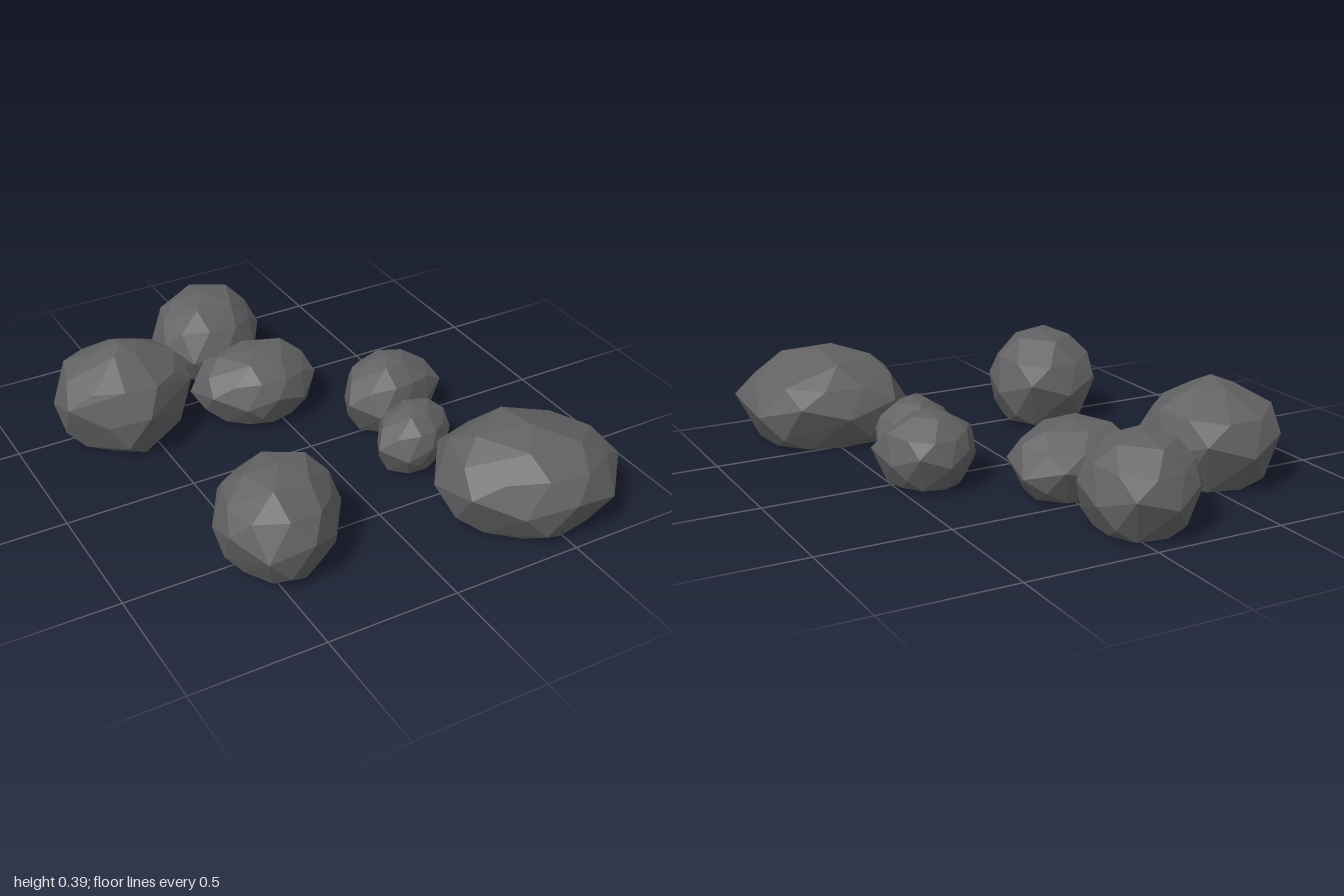
import * as THREE from 'three';
import { ConvexGeometry } from 'three/addons/geometries/ConvexGeometry.js';

const stone = new THREE.MeshStandardMaterial({ color: 0x626264, flatShading: true });
stone.name = 'dark grey stone';

// Builds one faceted boulder as a hull of stacked rings.
// center: [x, z]; radii: plan radius every 36 degrees, starting at the back (-z);
// cap: width of the crown ring; slope: fall of the slab over the top along x and z.
function boulder(name, { center, radii, height, cap, baseY = 0.01, slope = [0, 0] }) {
  const [cx, cz] = center;
  const points = [];
  const add = (dx, dz, y) => {
    const slab = height + slope[0] * dx + slope[1] * dz;
    points.push(new THREE.Vector3(cx + dx, Math.min(y, slab), cz + dz));
  };
  // Point on a ring; half steps fall between two radii
  const ring = (step, scale, y) => {
    const a = (step * Math.PI) / 5;
    const low = Math.floor(step), high = Math.ceil(step) % radii.length;
    const r = scale * (radii[low] + radii[high]) / 2;
    add(r * Math.sin(a), -r * Math.cos(a), y);
  };
  radii.forEach((_, i) => {
    ring(i, 0.73, baseY); // flat underside
    if (i % 2) ring(i + 0.5, 0.9, baseY + 0.045); // undercut
    ring(i, 1, height * (i % 2 ? 0.52 : 0.38)); // belly
    ring(i + 0.5, 0.83, height * (0.72 + 0.03 * (i % 3 - 1))); // shoulder
    if (i % 2 === 0) ring(i, cap, height * (i % 4 ? 0.95 : 0.92)); // crown
  });
  add(0, 0, height); // peak
  const mesh = new THREE.Mesh(new ConvexGeometry(points), stone);
  mesh.name = name;
  return mesh;
}

export function createModel() {
  const group = new THREE.Group();
  group.name = 'boulders';

  // Back cluster
  group.add(
    boulder('backRightBoulder', {
      center: [-0.575, -0.465], height: 0.39, cap: 0.32,
      radii: [0.285, 0.295, 0.27, 0.27, 0.225, 0.28, 0.234, 0.265, 0.265, 0.272],
    }),
    boulder('backBoulder', {
      center: [-0.08, -0.765], height: 0.335, cap: 0.56,
      radii: [0.235, 0.262, 0.23, 0.223, 0.23, 0.225, 0.234, 0.216, 0.222, 0.212],
    }),
    boulder('middleBoulder', {
      center: [-0.055, -0.355], height: 0.27, cap: 0.55,
      radii: [0.2, 0.237, 0.26, 0.24, 0.212, 0.2, 0.2, 0.23, 0.26, 0.237],
    }),
  );

  // Small pair linking the clusters
  group.add(
    boulder('smallBoulder', {
      center: [0.365, -0.045], height: 0.285, cap: 0.42, baseY: 0.015,
      radii: [0.18, 0.19, 0.19, 0.215, 0.158, 0.155, 0.2, 0.222, 0.17, 0.163],
    }),
    boulder('smallestBoulder', {
      center: [0.29, 0.255], height: 0.245, cap: 0.45, baseY: 0.015,
      radii: [0.145, 0.174, 0.188, 0.148, 0.13, 0.145, 0.168, 0.187, 0.132, 0.132],
    }),
  );

  // Front boulders
  group.add(
    boulder('largeFrontBoulder', {
      center: [0.49, 0.7], height: 0.35, cap: 0.58, baseY: 0, slope: [-0.35, 0.12],
      radii: [0.3, 0.305, 0.32, 0.345, 0.325, 0.3, 0.285, 0.32, 0.34, 0.34],
    }),
    boulder('frontRightBoulder', {
      center: [-0.41, 0.51], height: 0.37, cap: 0.52,
      radii: [0.25, 0.27, 0.245, 0.215, 0.215, 0.252, 0.262, 0.243, 0.235, 0.242],
    }),
  );
  return group;
}
